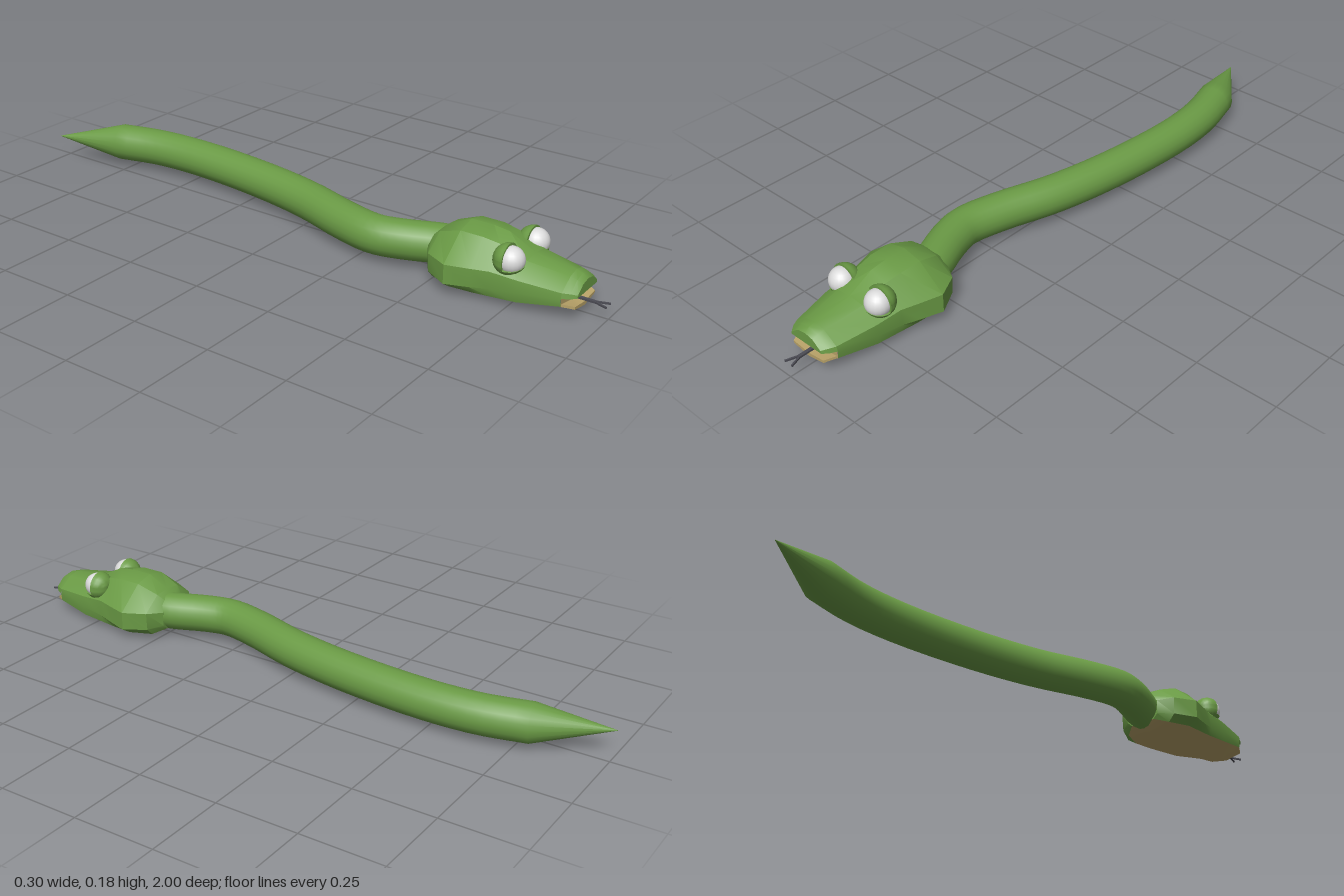
import * as THREE from 'three';
import { toCreasedNormals } from 'three/addons/utils/BufferGeometryUtils.js';

const material = (name, color) => {
  const m = new THREE.MeshStandardMaterial({ color });
  m.name = name;
  return m;
};

// Skin over rings of [x, y, z]; each ring runs counter-clockwise seen from +z, rings advance along +z
function loft(rings, { closed = true, capBack = false, capFront = false } = {}) {
  const n = rings[0].length, pos = [], index = [];
  rings.forEach(r => r.forEach(p => pos.push(...p)));
  for (let j = 0; j < rings.length - 1; j++) {
    for (let i = 0; i < (closed ? n : n - 1); i++) {
      const a = j * n + i, b = j * n + (i + 1) % n;
      index.push(a, b, b + n, a, b + n, a + n);
    }
  }
  const cap = (start, flip) => {
    const ring = pos.slice(start * 3, (start + n) * 3);
    const c = [0, 0, 0];
    ring.forEach((v, k) => { c[k % 3] += v / n; });
    const mid = pos.length / 3;
    pos.push(...c);
    for (let i = 0; i < n; i++) {
      const a = start + i, b = start + (i + 1) % n;
      index.push(...(flip ? [mid, b, a] : [mid, a, b]));
    }
  };
  if (capBack) cap(0, true);
  if (capFront) cap((rings.length - 1) * n, false);
  const g = new THREE.BufferGeometry();
  g.setAttribute('position', new THREE.Float32BufferAttribute(pos, 3));
  g.setIndex(index);
  g.computeVertexNormals();
  return g;
}

export function createModel() {
  const model = new THREE.Group();
  model.name = 'snake';
  const green = material('green skin', 0x6a9a45);
  const sand = material('sand underside', 0xb8a268);
  const white = material('eye white', 0xdcdcdc);
  const dark = material('tongue grey', 0x4c4c54);

  const head = new THREE.Group();
  head.name = 'head';
  head.position.x = -0.005;
  model.add(head);

  const add = (parent, name, geometry, mat) => {
    const mesh = new THREE.Mesh(geometry, mat);
    mesh.name = name;
    parent.add(mesh);
    return mesh;
  };

  // Body: a winding round tube that closes to a pointed tail
  const path = new THREE.CatmullRomCurve3([
    [0.047, -0.79], [0.08, -0.65], [0.088, -0.48], [0.065, -0.22], [0.022, 0],
    [-0.036, 0.18], [-0.06, 0.3], [-0.043, 0.38], [0, 0.49], [0.005, 0.53],
  ].map(([x, z]) => new THREE.Vector3(x, 0.08, z)));
  const sides = 20, steps = 32;
  const ringAt = (c, t, r) => Array.from({ length: sides }, (_, i) => {
    const a = i / sides * Math.PI * 2, s = r * Math.cos(a);
    return [c.x + t.z * s, c.y + r * Math.sin(a), c.z - t.x * s];
  });
  const bodyRings = [ringAt(new THREE.Vector3(-0.04, 0.08, -1), path.getTangent(0), 0.0005)];
  for (let k = 0; k <= steps; k++) {
    bodyRings.push(ringAt(path.getPoint(k / steps), path.getTangent(k / steps), 0.059));
  }
  add(model, 'body', loft(bodyRings), green);

  // Skull sections: z, crown y, then [x, y] of brow, upper cheek, lower cheek, jaw edge, then keel y
  const sections = [
    [0.48, 0.125, [0.035, 0.12], [0.062, 0.095], [0.062, 0.05], [0.045, 0.035], 0.03],
    [0.51, 0.15, [0.05, 0.145], [0.11, 0.1], [0.107, 0.045], [0.085, 0.022], 0.012],
    [0.58, 0.184, [0.06, 0.17], [0.145, 0.1], [0.145, 0.042], [0.112, 0.021], 0.004],
    [0.65, 0.184, [0.06, 0.17], [0.125, 0.1], [0.125, 0.045], [0.108, 0.022], 0.003],
    [0.7, 0.178, [0.055, 0.162], [0.109, 0.1], [0.112, 0.05], [0.104, 0.024], 0.003],
    [0.78, 0.138, [0.05, 0.132], [0.103, 0.095], [0.107, 0.06], [0.1, 0.029], 0.004],
    [0.9, 0.123, [0.035, 0.116], [0.08, 0.085], [0.083, 0.066], [0.08, 0.045], 0.02],
  ];
  const skullRings = sections.map(([z, crown, brow, up, low, edge]) => {
    const half = [edge, low, up, brow];
    return [
      ...half.map(([x, y]) => [x, y, z]), [0, crown, z],
      ...half.reverse().map(([x, y]) => [-x, y, z]),
    ];
  });
  const bellyRings = sections.map(s => {
    const [x, y] = s[5];
    return [[-x, y, s[0]], [0, s[6], s[0]], [x, y, s[0]]];
  });
  add(head, 'skull', toCreasedNormals(loft(skullRings, { closed: false, capBack: true }), 0.5), green);
  add(head, 'underside', toCreasedNormals(loft(bellyRings, { closed: false, capBack: true }), 0.5), sand);

  // Mouth lining between the lips
  const lining = new THREE.Shape([
    [-0.08, 0.045], [0, 0.02], [0.08, 0.045], [0.083, 0.072], [-0.083, 0.072],
  ].map(p => new THREE.Vector2(...p)));
  add(head, 'mouthLining', new THREE.ShapeGeometry(lining), sand).position.z = 0.9;

  // Snout: upper lip overhanging the mouth
  const snoutRing = (z, half, crown) => [
    ...half.map(([x, y]) => [x, y, z]), [0, crown, z],
    ...[...half].reverse().map(([x, y]) => [-x, y, z]),
  ];
  add(head, 'snout', toCreasedNormals(loft([
    snoutRing(0.9, [[0.083, 0.07], [0.08, 0.085], [0.035, 0.116]], 0.123),
    snoutRing(0.92, [[0.073, 0.07], [0.07, 0.084], [0.033, 0.111]], 0.119),
    snoutRing(0.936, [[0.06, 0.072], [0.058, 0.08], [0.03, 0.102]], 0.108),
  ], { capFront: true }), 0.5), green);

  // Lower jaw: shallow V-shaped lip
  const jawRing = (z, w, lip, dip, under, keel) => [
    [w, lip, z], [0, dip, z], [-w, lip, z], [-w, under, z], [0, keel, z], [w, under, z],
  ];
  add(head, 'lowerJaw', toCreasedNormals(loft([
    jawRing(0.895, 0.08, 0.052, 0.038, 0.044, 0.019),
    jawRing(0.932, 0.06, 0.046, 0.036, 0.038, 0.027),
  ], { capFront: true }), 0.5), sand);

  // Eyelid shell: a round cup with a thick rim, its pole at -y
  const lid = angle => {
    const pts = [];
    for (let i = 0; i <= 8; i++) {
      const a = angle * i / 8;
      pts.push(new THREE.Vector2(0.046 * Math.sin(a), -0.046 * Math.cos(a)));
    }
    pts.push(new THREE.Vector2(0.036 * Math.sin(angle), -0.036 * Math.cos(angle)));
    return toCreasedNormals(new THREE.LatheGeometry(pts, 18), 0.6);
  };

  // Eyes: white ball held by a rear lid and a tilted lower lid
  for (const s of [-1, 1]) {
    const eye = new THREE.Group();
    eye.name = s > 0 ? 'leftEye' : 'rightEye';
    eye.position.set(s * 0.07, 0.133, 0.738);
    head.add(eye);
    const ball = add(eye, 'eyeball', new THREE.SphereGeometry(0.039, 20, 14), white);
    ball.position.set(s * 0.002, 0.001, 0.006);
    add(eye, 'rearLid', lid(1.55), green).rotation.x = Math.PI / 2;
    add(eye, 'lowerLid', lid(1.32), green).rotation.z = -s * 0.23;
  }

  // Forked tongue
  const tongue = new THREE.Group();
  tongue.name = 'tongue';
  tongue.position.y = 0.045;
  head.add(tongue);
  add(tongue, 'tongueStem', new THREE.BoxGeometry(0.01, 0.006, 0.07), dark).position.z = 0.93;
  for (const s of [-1, 1]) {
    const prong = add(tongue, 'tongueProng', new THREE.BoxGeometry(0.005, 0.005, 0.04), dark);
    prong.position.set(s * 0.008, 0, 0.98);
    prong.rotation.y = s * 0.33;
  }
  return model;
}
